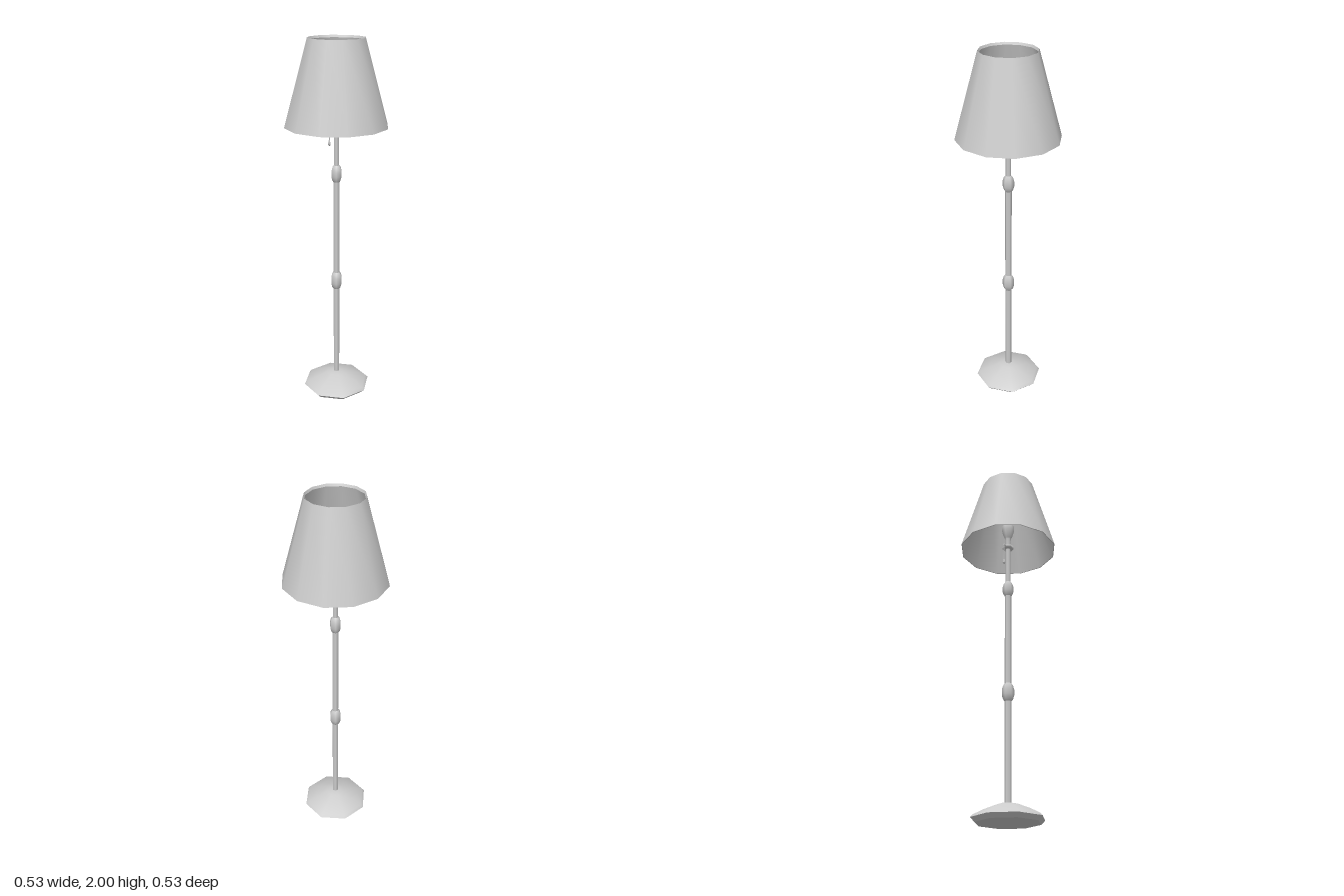
import * as THREE from 'three';

const grey = new THREE.MeshStandardMaterial({ color: 0xcccccc });
grey.name = 'light grey';

// Turned part: profile is a list of [radius, y]; rising profiles face outward
function turned(name, profile, sides, start) {
  const points = profile.map(([r, y]) => new THREE.Vector2(r, y));
  const mesh = new THREE.Mesh(new THREE.LatheGeometry(points, sides, start), grey);
  mesh.name = name;
  return mesh;
}

export function createModel() {
  const lamp = new THREE.Group();
  lamp.name = 'floorLamp';
  const hex = Math.PI / 6, twelve = Math.PI / 12;

  // Foot: domed top over a tapered underside
  const base = new THREE.Group();
  base.name = 'base';
  base.add(
    turned('baseTop', [[0.19, 0.026], [0.176, 0.04], [0.12, 0.068], [0.055, 0.094], [0.02, 0.099], [0, 0.099]], 8, 0),
    turned('baseLip', [[0.168, 0.004], [0.19, 0.026]], 8, 0),
    turned('baseUnderside', [[0, 0], [0.168, 0.004]], 8, 0),
  );
  lamp.add(base);

  // Pole in two widths
  lamp.add(
    turned('lowerPole', [[0.018, 0.08], [0.018, 1.3]], 6, hex),
    turned('upperPole', [[0.0145, 1.3], [0.0145, 1.6]], 6, hex),
  );

  // Swollen joints on the pole
  for (const [name, y, r, h] of [['lowerKnob', 0.68, 0.033, 0.052], ['upperKnob', 1.298, 0.031, 0.047]]) {
    lamp.add(turned(name, [
      [0.016, y - h], [r * 0.8, y - h * 0.75], [r, y - h * 0.3],
      [r, y + h * 0.3], [r * 0.8, y + h * 0.75], [0.016, y + h],
    ], 6, hex));
  }

  // Socket collar and bulb
  lamp.add(
    turned('socketCollar', [[0.012, 1.56], [0.032, 1.565], [0.032, 1.58], [0.014, 1.587]], 6, hex),
    turned('socket', [[0.0145, 1.58], [0.016, 1.63], [0.02, 1.64]], 6, hex),
    turned('bulb', [[0.018, 1.635], [0.027, 1.655], [0.036, 1.69], [0.034, 1.72], [0.022, 1.742], [0, 1.75]], 6, hex),
  );

  // Pull switch: short arm, cord and weight
  const pull = new THREE.Group();
  pull.name = 'pullSwitch';
  const arm = new THREE.Mesh(new THREE.CylinderGeometry(0.005, 0.005, 0.022, 4), grey);
  arm.name = 'switchArm';
  arm.rotation.z = Math.PI / 2;
  arm.position.set(-0.036, 1.573, 0);
  const cord = turned('pullCord', [[0.003, 1.465], [0.003, 1.582]], 4, 0);
  const weight = turned('pullWeight', [[0, 1.443], [0.007, 1.447], [0.009, 1.455], [0.003, 1.475]], 4, 0);
  cord.position.x = weight.position.x = -0.045;
  pull.add(arm, cord, weight);
  lamp.add(pull);

  // Open shade: outer wall, inner wall and sloped top lip
  const shade = new THREE.Group();
  shade.name = 'shade';
  shade.add(
    turned('shadeOuter', [[0.2745, 1.555], [0.15, 2]], 12, twelve),
    turned('shadeLip', [[0.15, 2], [0.1445, 1.988]], 12, twelve),
    turned('shadeInner', [[0.1445, 1.988], [0.27, 1.555]], 12, twelve),
    turned('shadeBottomRim', [[0.27, 1.555], [0.2745, 1.555]], 12, twelve),
  );
  lamp.add(shade);

  return lamp;
}
